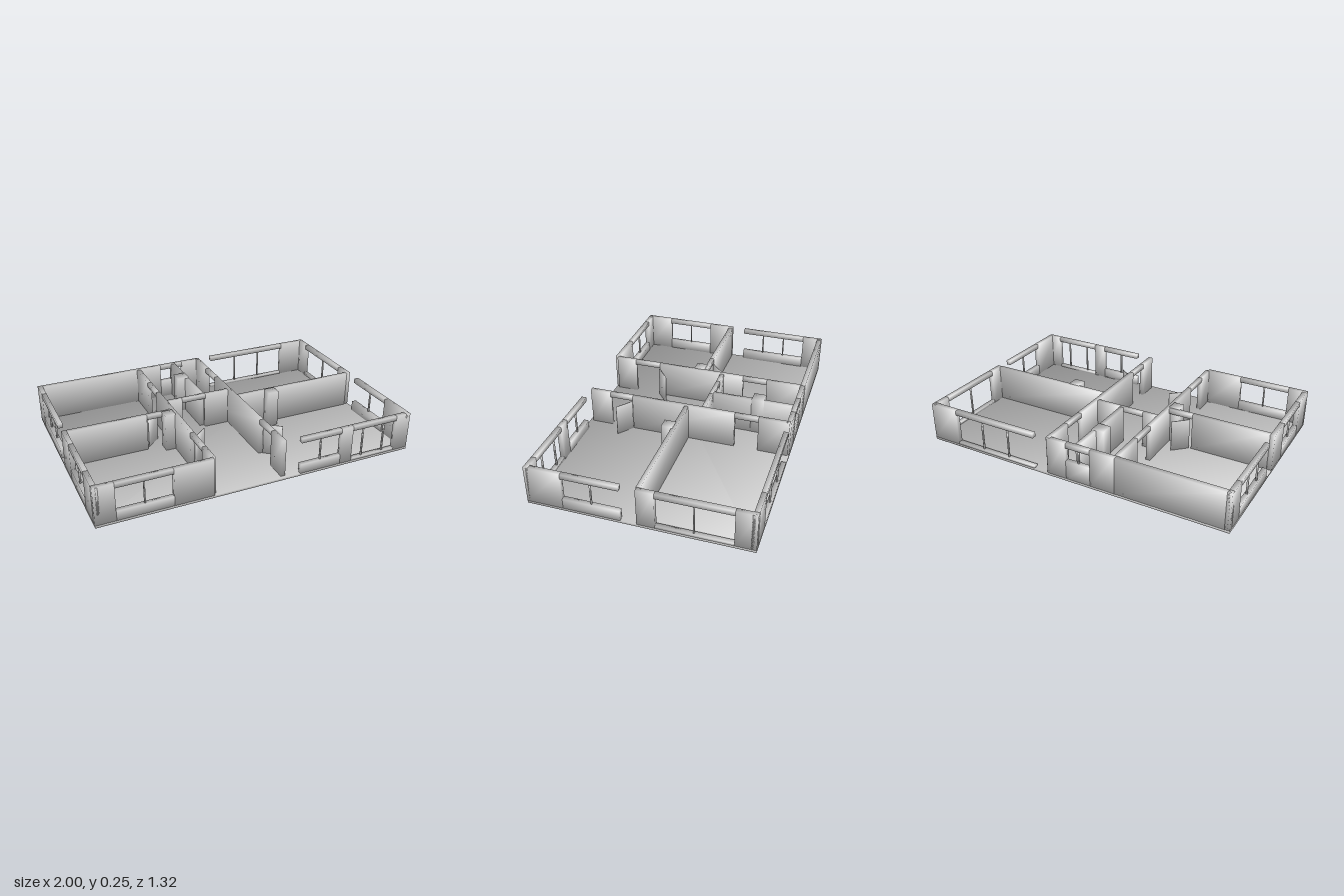
import * as THREE from 'three';

const FLOOR = 0.015, TOP = 0.25, LINTEL = 0.22;

// Box between two corners, with normals blended across its edges
function softBox(x0, x1, y0, y1, z0, z1) {
  const g = new THREE.BoxGeometry(x1 - x0, y1 - y0, z1 - z0);
  const p = g.attributes.position, n = g.attributes.normal, s = 1 / Math.sqrt(3);
  for (let i = 0; i < p.count; i++) {
    n.setXYZ(i, Math.sign(p.getX(i)) * s, Math.sign(p.getY(i)) * s, Math.sign(p.getZ(i)) * s);
  }
  g.translate((x0 + x1) / 2, (y0 + y1) / 2, (z0 + z1) / 2);
  return g;
}

export function createModel() {
  const model = new THREE.Group();
  model.name = 'floorPlanHouse';
  const plaster = new THREE.MeshStandardMaterial({ color: 0xcccccc });
  plaster.name = 'plaster';

  function add(parent, name, ...box) {
    const m = new THREE.Mesh(softBox(...box), plaster);
    m.name = name;
    parent.add(m);
    return m;
  }

  // A straight wall along x or z, between c0 and c1 across.
  // Segments: [from, to] solid, [from, to, sillTop, mullions] window, [from, to, 0] doorway
  function wall(name, axis, c0, c1, segments) {
    const group = new THREE.Group();
    group.name = name;
    model.add(group);
    const put = (part, a, b, y0, y1, inset = 0) => axis === 'x'
      ? add(group, part, a, b, y0, y1, c0 + inset, c1 - inset)
      : add(group, part, c0 + inset, c1 - inset, y0, y1, a, b);
    for (const [a, b, sill, mullions = []] of segments) {
      if (sill === undefined) { put('wallPanel', a, b, FLOOR, TOP); continue; }
      put('lintel', a, b, LINTEL, TOP);
      if (sill > 0) put('sill', a, b, FLOOR, sill);
      for (const m of mullions) put('mullion', m - 0.004, m + 0.004, sill, LINTEL, 0.01);
    }
  }

  add(model, 'floorSlab', -1, 1, 0, FLOOR, -0.66, 0.66);

  // Outer walls
  wall('frontWallRight', 'x', 0.63, 0.66, [
    [-1, -0.88], [-0.88, -0.55, 0.075, [-0.715]], [-0.55, -0.31]]);
  wall('frontWallLeft', 'x', 0.63, 0.66, [
    [0.24, 0.51, 0.075, [0.375]], [0.51, 0.59], [0.59, 0.9, 0.03, [0.67, 0.82]], [0.9, 1]]);
  wall('backWallRight', 'x', -0.66, -0.63, [
    [-1, -0.31], [-0.31, -0.15], [-0.15, 0.01, 0.135, [-0.07]], [0.01, 0.14]]);
  wall('backWallLeft', 'x', -0.66, -0.63, [
    [0.235, 0.81, 0.03, [0.43, 0.62]], [0.81, 1]]);
  wall('leftSideWall', 'z', 0.97, 1, [
    [-0.66, -0.54], [-0.54, -0.1, 0.03, [-0.315]], [-0.1, 0.005],
    [0.1, 0.44, 0.08, [0.27]], [0.44, 0.66]]);
  wall('rightSideWall', 'z', -1, -0.97, [
    [-0.66, -0.53], [-0.53, -0.09, 0.08, [-0.385, -0.235]],
    [0, 0.17], [0.17, 0.48, 0.08, [0.325]], [0.48, 0.66]]);

  // Inner walls
  wall('rightHallWall', 'z', -0.322, -0.295, [
    [-0.63, -0.41], [-0.41, -0.25, 0], [-0.25, 0.33], [0.33, 0.505, 0], [0.505, 0.64]]);
  wall('leftHallWall', 'z', 0.12, 0.148, [
    [-0.65, -0.46], [-0.46, -0.31, 0], [-0.31, 0.355], [0.355, 0.505, 0], [0.505, 0.64]]);
  wall('rightRoomDivider', 'x', 0, 0.028, [[-0.97, -0.48], [-0.48, -0.322, 0]]);
  wall('leftRoomDivider', 'x', -0.015, 0.01, [[0.148, 0.97]]);
  wall('hallCrossWall', 'x', -0.12, -0.095, [
    [-0.295, -0.2], [-0.2, -0.04, 0], [-0.04, 0.12]]);
  wall('smallRoomDivider', 'z', -0.07, -0.042, [[-0.63, -0.12]]);

  // Square columns at x, z with half width
  for (const [x, z, h] of [[-0.35, 0.055, 0.034], [0.37, 0.037, 0.035], [-0.08, -0.41, 0.04]]) {
    add(model, 'column', x - h, x + h, FLOOR, 0.255, z - h, z + h);
  }

  // Open door leaves from hinge to free edge
  for (const [x0, z0, x1, z1] of [
    [-0.295, 0.335, -0.2, 0.255], [0.148, 0.358, 0.24, 0.43], [-0.465, 0, -0.38, -0.08]]) {
    const len = Math.hypot(x1 - x0, z1 - z0);
    const leaf = add(model, 'doorLeaf', 0, len, FLOOR, 0.215, -0.003, 0.003);
    leaf.position.set(x0, 0, z0);
    leaf.rotation.y = -Math.atan2(z1 - z0, x1 - x0);
  }

  return model;
}
